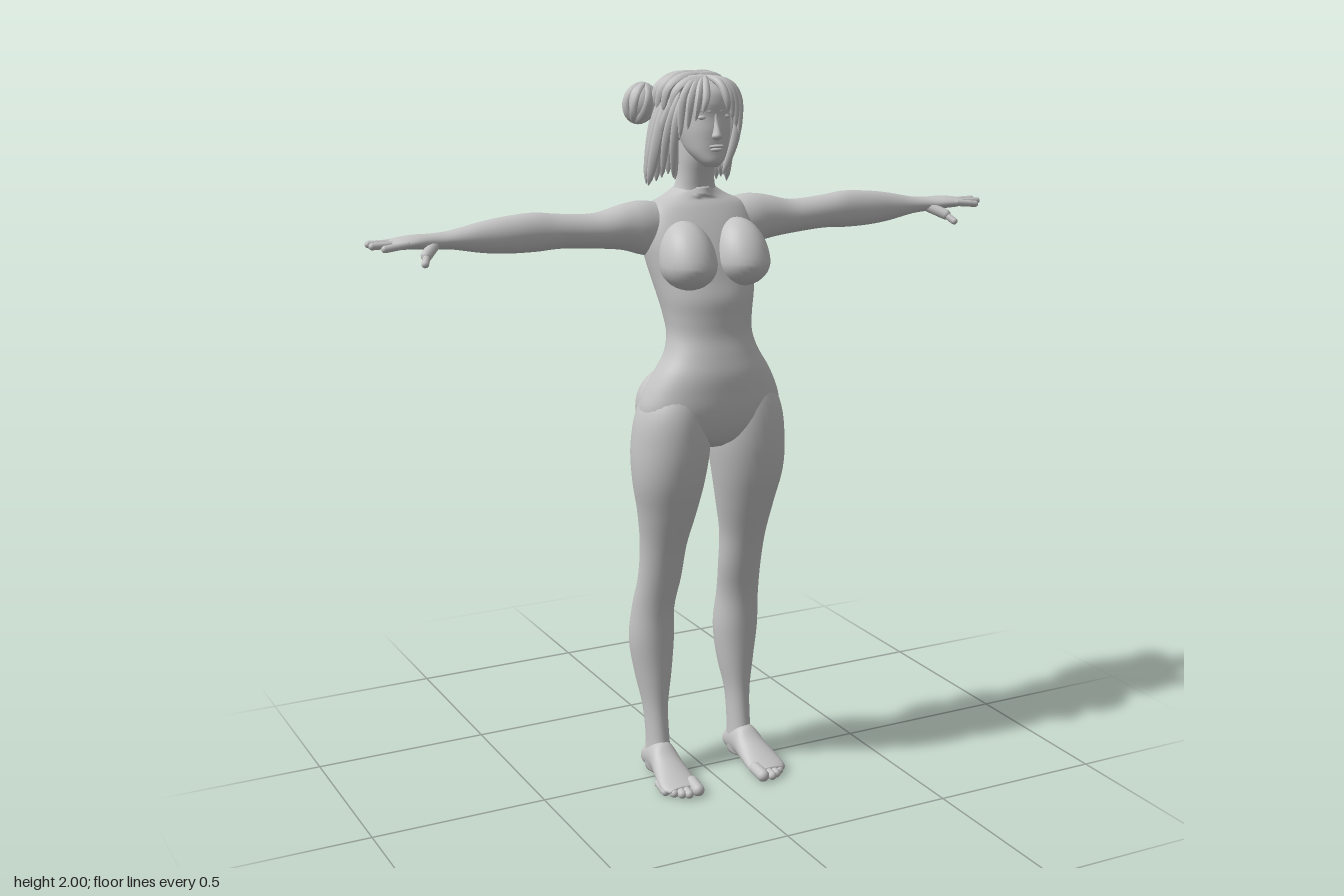
import * as THREE from 'three';

const clay = new THREE.MeshStandardMaterial({ color: 0xc4c4c4 });
clay.name = 'clay grey';
const V = (x, y, z) => new THREE.Vector3(x, y, z);

// Smooth closed loft. Section: [t, uCentre, uHalf, vHigh, vLow]; map turns (t, u, v) into a point.
function loft(sections, map, { steps = 5, sides = 32, power = 1 } = {}) {
  const a = new THREE.CatmullRomCurve3(sections.map(s => V(s[0], s[1], s[2])), false, 'catmullrom');
  const b = new THREE.CatmullRomCurve3(sections.map(s => V(s[3], s[4], 0)), false, 'catmullrom');
  const rows = (sections.length - 1) * steps, pos = [], idx = [];
  const soft = c => Math.sign(c) * Math.abs(c) ** power;
  for (let i = 0; i <= rows; i++) {
    const p = a.getPoint(i / rows), q = b.getPoint(i / rows);
    for (let j = 0; j < sides; j++) {
      const t = j / sides * Math.PI * 2;
      pos.push(...map(p.x, p.y + p.z * soft(Math.cos(t)),
        (q.x + q.y) / 2 + (q.x - q.y) / 2 * soft(Math.sin(t))));
    }
  }
  const first = sections[0], last = sections[sections.length - 1], n = (rows + 1) * sides;
  for (const s of [first, last]) pos.push(...map(s[0], s[1], (s[3] + s[4]) / 2));
  for (let j = 0; j < sides; j++) {
    const k = (j + 1) % sides;
    for (let i = 0; i < rows; i++) {
      const r = i * sides, q = r + sides;
      idx.push(r + j, q + j, r + k, r + k, q + j, q + k);
    }
    idx.push(n, j, k, n + 1, rows * sides + k, rows * sides + j);
  }
  // Turn the faces outward by checking the signed volume
  let volume = 0;
  const at = i => V(pos[i * 3], pos[i * 3 + 1], pos[i * 3 + 2]);
  for (let i = 0; i < idx.length; i += 3) volume += at(idx[i]).dot(at(idx[i + 1]).cross(at(idx[i + 2])));
  if (volume < 0) idx.reverse();
  const g = new THREE.BufferGeometry();
  g.setAttribute('position', new THREE.Float32BufferAttribute(pos, 3));
  g.setIndex(idx);
  g.computeVertexNormals();
  return g;
}

function ellipsoid(c, r) {
  return new THREE.SphereGeometry(1, 28, 20).scale(...r).translate(...c);
}

// Rounded rod between two points
function rod(a, b, r) {
  const d = b.clone().sub(a), g = new THREE.CapsuleGeometry(r, d.length(), 6, 12);
  g.applyQuaternion(new THREE.Quaternion().setFromUnitVectors(V(0, 1, 0), d.normalize()));
  const m = a.clone().add(b).multiplyScalar(0.5);
  return g.translate(m.x, m.y, m.z);
}

// Hair lock: a tube that narrows at both ends
function lock(points, r) {
  const curve = new THREE.CatmullRomCurve3(points), n = 16, m = 8;
  const g = new THREE.TubeGeometry(curve, n, r, m), p = g.attributes.position;
  for (let i = 0; i <= n; i++) {
    const c = curve.getPointAt(i / n), f = 0.08 + 0.92 * Math.sin(Math.PI * i / n) ** 0.5;
    for (let j = 0; j <= m; j++) {
      const k = i * (m + 1) + j, v = V().fromBufferAttribute(p, k).sub(c).multiplyScalar(f).add(c);
      p.setXYZ(k, v.x, v.y, v.z);
    }
  }
  g.computeVertexNormals();
  return g;
}

export function createModel() {
  const model = new THREE.Group();
  model.name = 'figure';
  const add = (name, g) => {
    const m = new THREE.Mesh(g, clay);
    m.name = name;
    model.add(m);
    return m;
  };
  const upright = s => (y, x, z) => [s * x, y, z];

  // Torso with a shallow spine groove
  add('torso', loft([
    [1.69, 0, 0.05, -0.01, -0.1], [1.665, 0, 0.09, 0, -0.11], [1.64, 0, 0.14, 0.02, -0.122],
    [1.6, 0, 0.162, 0.045, -0.133], [1.55, 0, 0.165, 0.07, -0.135], [1.5, 0, 0.157, 0.09, -0.128],
    [1.45, 0, 0.146, 0.105, -0.114], [1.4, 0, 0.135, 0.12, -0.095], [1.35, 0, 0.125, 0.122, -0.074],
    [1.3, 0, 0.121, 0.125, -0.055], [1.25, 0, 0.135, 0.138, -0.046], [1.2, 0, 0.165, 0.15, -0.056],
    [1.15, 0, 0.191, 0.152, -0.07], [1.1, 0, 0.206, 0.15, -0.075], [1.05, 0, 0.195, 0.138, -0.07],
    [1.01, 0, 0.13, 0.115, -0.055], [0.985, 0, 0.05, 0.08, -0.03]],
  (y, x, z) => [x, y, z < 0 ? z + 0.013 * Math.exp(-((x / 0.025) ** 2)) : z], { power: 0.92, sides: 48 }));

  add('neck', loft([
    [1.82, 0, 0.05, 0.025, -0.09], [1.77, 0, 0.05, 0.02, -0.09], [1.72, 0, 0.05, 0.005, -0.095],
    [1.68, 0, 0.06, -0.002, -0.105], [1.64, 0, 0.085, 0.005, -0.115], [1.61, 0, 0.09, 0.01, -0.11]], upright(1)));

  // Head and face
  add('head', loft([
    [1.75, 0, 0.018, 0.068, 0.02], [1.765, 0, 0.034, 0.08, -0.005], [1.79, 0, 0.052, 0.08, -0.04],
    [1.82, 0, 0.063, 0.08, -0.07], [1.85, 0, 0.07, 0.079, -0.09], [1.885, 0, 0.074, 0.074, -0.11],
    [1.92, 0, 0.075, 0.075, -0.12], [1.955, 0, 0.066, 0.06, -0.11], [1.985, 0, 0.035, 0.01, -0.08]],
  upright(1), { power: 0.92 }));
  add('nose', loft([
    [1.895, 0, 0.008, 0.073, 0.05], [1.87, 0, 0.008, 0.081, 0.05], [1.845, 0, 0.012, 0.092, 0.05],
    [1.832, 0, 0.016, 0.095, 0.05], [1.822, 0, 0.009, 0.084, 0.06]], upright(1), { sides: 16 }));
  add('upperLip', ellipsoid([0, 1.806, 0.077], [0.022, 0.005, 0.009]));
  add('lowerLip', ellipsoid([0, 1.797, 0.076], [0.018, 0.006, 0.009]));

  for (const s of [1, -1]) {
    const side = s > 0 ? 'left' : 'right';
    const put = (name, g) => add(side + name, g);

    put('Eye', ellipsoid([s * 0.031, 1.881, 0.061], [0.016, 0.007, 0.008]));
    put('Brow', rod(V(s * 0.016, 1.897, 0.069), V(s * 0.046, 1.899, 0.055), 0.005));

    // Chest, drawn out towards the collar bone
    const chest = ellipsoid([0, 0, 0], [0.076, 0.07, 0.088]), p = chest.attributes.position;
    for (let i = 0; i < p.count; i++) {
      const y = p.getY(i);
      if (y > 0) p.setXYZ(i, p.getX(i), y * 1.6, p.getZ(i) - y * 0.35);
    }
    chest.computeVertexNormals();
    put('Chest', chest.translate(s * 0.08, 1.497, 0.07));
    put('Buttock', ellipsoid([s * 0.086, 1.085, -0.033], [0.098, 0.112, 0.092]));

    // Leg from hip to heel
    put('Leg', loft([
      [1.2, 0.085, 0.06, 0.11, -0.03], [1.1, 0.11, 0.096, 0.14, -0.07], [1, 0.116, 0.109, 0.144, -0.085],
      [0.9, 0.122, 0.102, 0.13, -0.07], [0.8, 0.122, 0.083, 0.1, -0.065], [0.7, 0.125, 0.066, 0.065, -0.067],
      [0.6, 0.127, 0.062, 0.037, -0.08], [0.5, 0.135, 0.06, 0.013, -0.112], [0.4, 0.135, 0.064, 0.005, -0.13],
      [0.3, 0.133, 0.052, 0.001, -0.119], [0.2, 0.133, 0.035, 0, -0.09], [0.1, 0.132, 0.032, 0.012, -0.075],
      [0.04, 0.134, 0.035, 0.03, -0.085], [0.01, 0.134, 0.03, 0.02, -0.08]], upright(s)));

    // Foot runs along z and flares towards the toes
    put('Foot', loft([
      [-0.09, 0.134, 0.015, 0.045, 0.015], [-0.075, 0.134, 0.032, 0.07, 0.006], [-0.03, 0.134, 0.037, 0.1, 0.004],
      [0.01, 0.135, 0.041, 0.105, 0.004], [0.05, 0.137, 0.047, 0.078, 0.004], [0.1, 0.14, 0.054, 0.052, 0.002],
      [0.135, 0.141, 0.053, 0.036, 0.002], [0.155, 0.139, 0.04, 0.028, 0.006]],
    (z, x, y) => [s * x, y, z]));
    for (let i = 0; i < 5; i++) {
      const r = i ? 0.0125 : 0.018, x = i ? 0.116 + i * 0.0175 : 0.104, tip = 0.19 - 0.003 * i * i;
      put('Toe' + (i + 1), rod(V(s * (x - 0.002), r + 0.006, tip - 0.06), V(s * x, r, tip - r), r));
    }

    // Arm runs along x from the shoulder to the knuckles
    put('Arm', loft([
      [0.09, -0.055, 0.06, 1.645, 1.5], [0.16, -0.052, 0.064, 1.657, 1.51], [0.22, -0.05, 0.057, 1.65, 1.528],
      [0.3, -0.05, 0.05, 1.632, 1.538], [0.4, -0.05, 0.046, 1.637, 1.545], [0.47, -0.05, 0.044, 1.645, 1.542],
      [0.55, -0.052, 0.043, 1.64, 1.543], [0.62, -0.053, 0.038, 1.63, 1.55], [0.7, -0.053, 0.032, 1.614, 1.565],
      [0.75, -0.052, 0.031, 1.61, 1.569], [0.8, -0.049, 0.042, 1.61, 1.574], [0.84, -0.047, 0.046, 1.606, 1.577],
      [0.865, -0.047, 0.038, 1.6, 1.583]], (x, z, y) => [s * x, y, z]));
    [[0.9, -0.089, 1.585], [0.925, -0.064, 1.592], [0.924, -0.033, 1.591], [0.9, -0.006, 1.586]].forEach(([x, z, y], i) =>
      put('Finger' + (i + 1), rod(V(s * 0.83, 1.592, -0.083 + i * 0.024), V(s * (x - 0.009), y, z), 0.0095)));
    put('ThumbBase', rod(V(s * 0.75, 1.583, -0.038), V(s * 0.785, 1.563, 0), 0.015));
    put('Thumb', rod(V(s * 0.785, 1.562, 0.002), V(s * 0.798, 1.546, 0.026), 0.01));

    // Hair bun wrapped in coils
    put('Bun', ellipsoid([s * 0.122, 1.907, -0.137], [0.04, 0.052, 0.046]));
    for (let i = 0; i < 4; i++) {
      const coil = new THREE.TorusGeometry(0.037, 0.013, 8, 28).scale(1, 1.15, 1);
      coil.rotateY(i * Math.PI / 4).rotateZ(s * 0.3);
      put('BunCoil' + i, coil.translate(s * 0.122, 1.907, -0.137));
    }

    // Crown bands swept sideways from the parting
    for (let i = 0; i < 7; i++) {
      const z = 0.035 - i * 0.031, k = Math.sqrt(1 - ((z + 0.055) / 0.125) ** 2);
      put('CrownLock' + i, lock([V(-s * 0.008, 1.9 + 0.09 * k, z), V(s * 0.055 * k, 1.9 + 0.077 * k, z - 0.006),
        V(s * 0.088 * k, 1.9 + 0.047 * k, z - 0.012), V(s * 0.1 * k, 1.89, z - 0.018)], 0.014));
    }
    // Fringe and the strands that frame the face
    for (let i = 0; i < 4; i++) {
      const x = 0.03 + i * 0.017;
      put('FringeLock' + i, lock([V(s * 0.004, 1.985, 0.012), V(s * x * 0.7, 1.966, 0.055 - i * 0.006),
        V(s * x, 1.93, 0.076 - i * 0.011), V(s * (x + 0.008), 1.895 - i * 0.022, 0.075 - i * 0.012)], 0.011));
    }
    for (let i = 0; i < 3; i++) {
      put('FaceStrand' + i, lock([V(s * 0.07, 1.95, 0.025 - i * 0.02), V(s * 0.09, 1.89, 0.027 - i * 0.03),
        V(s * (0.092 + i * 0.006), 1.82, 0.01 - i * 0.035), V(s * (0.075 + i * 0.018), 1.715 + i * 0.005, -0.03 - i * 0.03)], 0.012));
    }
  }

  // Hair cap and the bob around the back
  add('hairCap', ellipsoid([0, 1.895, -0.057], [0.094, 0.097, 0.112]));
  const count = 19;
  for (let i = 0; i < count; i++) {
    const a = (i / (count - 1) - 0.5) * Math.PI * 1.06, x = Math.sin(a), z = Math.cos(a);
    const end = 1.69 + 0.008 * (i % 3);
    add('bobLock' + i, lock([V(x * 0.07, 1.955, -0.06 - z * 0.08), V(x * 0.094, 1.88, -0.063 - z * 0.106),
      V(x * 0.108, 1.8, -0.075 - z * 0.1), V(x * 0.12, end, -0.1 - z * 0.072)], 0.0175));
  }
  return model;
}
